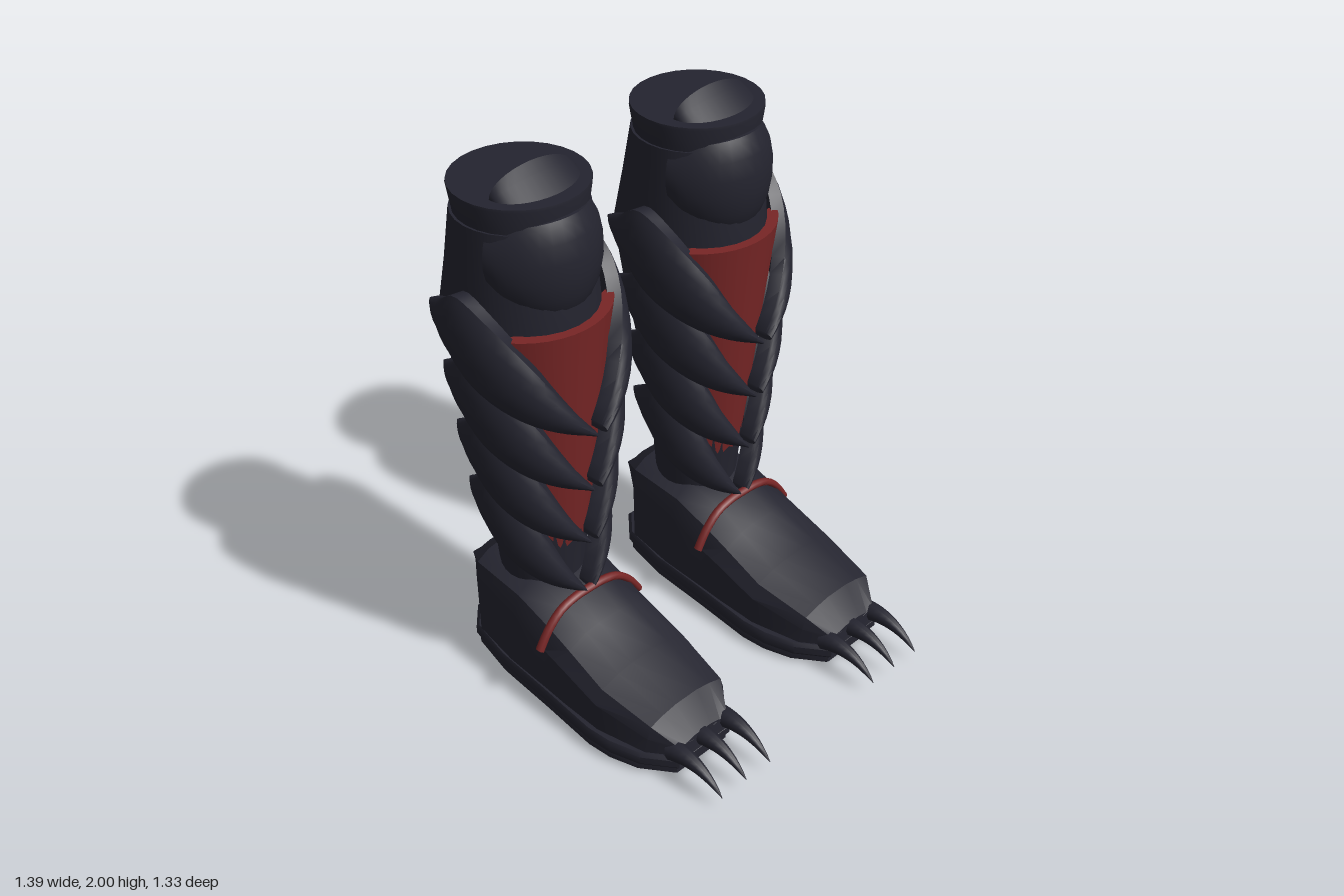
import * as THREE from 'three';
import { toCreasedNormals } from 'three/addons/utils/BufferGeometryUtils.js';

const dark = new THREE.MeshStandardMaterial({ color: 0x24242f });
dark.name = 'charcoal armour';
const red = new THREE.MeshStandardMaterial({ color: 0x782626 });
red.name = 'deep red cloth';

// Skin closed rings of [x, y, z] points, cap both ends, and face outward.
function loft(name, material, rings, crease = 0.6) {
  const n = rings[0].length, pos = rings.flat(2), tris = [];
  for (let i = 0; i < rings.length - 1; i++) {
    for (let j = 0; j < n; j++) {
      const a = i * n + j, b = i * n + (j + 1) % n;
      tris.push([a, b, a + n], [b, b + n, a + n]);
    }
  }
  [0, rings.length - 1].forEach((r, end) => {
    const c = pos.length / 3;
    for (let k = 0; k < 3; k++) pos.push(rings[r].reduce((s, p) => s + p[k], 0) / n);
    for (let j = 0; j < n; j++) {
      const a = r * n + j, b = r * n + (j + 1) % n;
      tris.push(end ? [a, b, c] : [b, a, c]);
    }
  });
  const v = i => new THREE.Vector3().fromArray(pos, i * 3);
  const volume = tris.reduce((s, [a, b, c]) => s + v(a).dot(v(b).cross(v(c))), 0);
  if (volume < 0) tris.forEach(t => t.reverse());
  const geo = new THREE.BufferGeometry();
  geo.setAttribute('position', new THREE.Float32BufferAttribute(pos, 3));
  geo.setIndex(tris.flat());
  const mesh = new THREE.Mesh(toCreasedNormals(geo, crease), material);
  mesh.name = name;
  return mesh;
}

// Horizontal ellipse from its half width, back z and front z.
function ellipse([y, rx, zb, zf], n = 28) {
  return Array.from({ length: n }, (_, i) => {
    const a = i / n * Math.PI * 2;
    return [rx * Math.sin(a), y, (zb + zf) / 2 + (zf - zb) / 2 * Math.cos(a)];
  });
}

// Padded plate wrapped round the shin; rows are [angle from front, low y, high y].
function wrapPlate(name, rows, { rx, rz, cz, drop, thick, dy = 0, side = 1, steps = 20 }) {
  const curve = new THREE.CatmullRomCurve3(rows.map(r => new THREE.Vector3(...r)), false, 'centripetal');
  const across = [0, 0.06, 0.2, 0.4, 0.6, 0.8, 0.94, 1];
  const rings = [];
  for (let i = 0; i <= steps; i++) {
    const p = curve.getPoint(i / steps);
    const point = (t, inset) => [
      side * (rx - inset) * Math.sin(p.x),
      p.y + (p.z - p.y) * t + dy,
      cz + ((Math.cos(p.x) > 0 ? rz : rx) - inset) * Math.cos(p.x)];
    const outer = across.map(t => point(t, drop * Math.abs(2 * t - 1) ** 2.5));
    const inner = [1, 0.5, 0].map(t => point(t, drop + thick));
    rings.push([...outer, ...inner]);
  }
  return loft(name, dark, rings, 0.7);
}

// Flat slab following the sole outline.
function soleSlab(name, scale, y0, y1) {
  const half = [[0.12, 0.47], [0.2, 0.36], [0.235, 0.25], [0.245, 0.15], [0.228, -0.1],
    [0.215, -0.35], [0.18, -0.53], [0.1, -0.62]];
  const outline = [...half, ...half.map(([x, z]) => [-x, z]).reverse()];
  const ring = (y, s) => outline.map(([x, z]) => [x * s, y, (z + 0.07) * s - 0.07]);
  const m = (y1 - y0) * 0.25;
  return loft(name, dark, [ring(y0, scale * 0.975), ring(y0 + m, scale), ring(y1 - m, scale), ring(y1, scale * 0.975)]);
}

function buildBoot() {
  const boot = new THREE.Group();

  // Shaft and flared rim
  boot.add(loft('shaft', dark, [
    [0.38, 0.14, -0.5, -0.19], [0.6, 0.165, -0.505, -0.17], [0.8, 0.185, -0.53, -0.145],
    [1.0, 0.205, -0.565, -0.12], [1.2, 0.23, -0.61, -0.105], [1.45, 0.248, -0.66, -0.09],
    [1.65, 0.23, -0.612, -0.105], [1.84, 0.222, -0.565, -0.125],
  ].map(r => ellipse(r))));
  boot.add(loft('rim', dark, [
    [1.83, 0.213, -0.556, -0.127], [1.85, 0.215, -0.558, -0.126],
    [1.92, 0.225, -0.57, -0.115], [1.93, 0.224, -0.569, -0.116],
  ].map(r => ellipse(r))));

  // Sloping half-round flap standing on the rim
  const flap = [];
  for (let i = 0; i <= 16; i++) {
    const t = -Math.cos(i / 16 * Math.PI), h = Math.sqrt(Math.max(0, 1 - t * t));
    flap.push([[0.165 * t, 1.925, -0.275], [0.165 * t, 1.93 + 0.07 * h, -0.285],
      [0.165 * t, 1.93 + 0.045 * h, -0.27 + 0.025 * h], [0.165 * t, 1.925, -0.27 + 0.11 * h]]);
  }
  boot.add(loft('topFlap', dark, flap));

  // Knee pad
  boot.add(wrapPlate('kneePad', [
    [-1.27, 1.64, 1.84], [-1.05, 1.59, 1.85], [-0.6, 1.56, 1.87], [0, 1.55, 1.88],
    [0.6, 1.56, 1.87], [1.05, 1.59, 1.85], [1.27, 1.64, 1.84],
  ], { rx: 0.235, rz: 0.275, cz: -0.345, drop: 0.04, thick: 0.03 }));

  // Red shin panel, a thin curved strip tapering to the ankle
  const panel = [[0.44, 0.145, 0.15], [0.8, 0.185, 0.2], [1.2, 0.235, 0.245], [1.5, 0.278, 0.282]].map(([y, rx, rz]) => {
    const arc = Array.from({ length: 13 }, (_, i) => (i / 6 - 1) * 0.95);
    const at = inset => a => [(rx - inset) * Math.sin(a), y, -0.342 + (rz - inset) * Math.cos(a)];
    return [...arc.map(at(0)), ...arc.reverse().map(at(0.03))];
  });
  boot.add(loft('shinPanel', red, panel));

  // Four overlapping rows of leaf-shaped scales on both sides
  const leaf = [[0.06, 1.125, 1.15], [0.4, 1.165, 1.285], [0.8, 1.215, 1.45], [1.2, 1.275, 1.57],
    [1.57, 1.34, 1.625], [1.95, 1.43, 1.565], [2.3, 1.5, 1.515]];
  for (let k = 0; k < 4; k++) {
    for (const side of [1, -1]) {
      boot.add(wrapPlate('scale', leaf, {
        rx: 0.315 - 0.025 * k, rz: 0.335 - 0.03 * k, cz: -0.33,
        drop: 0.028, thick: 0.045, dy: -0.238 * k, side,
      }));
    }
  }

  // Foot: [bottom z, top z, half width, shoulder y, top half width, top y]
  const foot = [
    [-0.54, -0.605, 0.11, 0.32, 0.08, 0.36], [-0.5, -0.5, 0.18, 0.34, 0.13, 0.44],
    [-0.3, -0.26, 0.208, 0.33, 0.13, 0.45], [-0.1, -0.1, 0.215, 0.27, 0.12, 0.405],
    [0, 0, 0.22, 0.25, 0.12, 0.355], [0.17, 0.17, 0.222, 0.2, 0.13, 0.285],
    [0.36, 0.38, 0.18, 0.16, 0.12, 0.235], [0.47, 0.46, 0.11, 0.11, 0.09, 0.14],
  ].map(([zb, zt, w, ys, wt, yt]) => {
    const zs = zb + (zt - zb) * 0.85;
    const half = [[w, 0.07, zb], [w, ys, zs], [(w + wt) / 2 + 0.015, (ys + yt) / 2 + 0.01, zt], [wt * 0.9, yt - 0.01, zt], [wt * 0.4, yt, zt]];
    return [...half, ...half.map(([x, y, z]) => [-x, y, z]).reverse()];
  });
  boot.add(loft('foot', dark, foot, 0.5));

  // Two-layer sole
  boot.add(soleSlab('soleWelt', 1, 0.035, 0.09));
  boot.add(soleSlab('soleTread', 0.97, 0, 0.045));

  // Red strap over the instep
  const strapPath = new THREE.CatmullRomCurve3([
    [-0.232, 0.28], [-0.19, 0.345], [-0.13, 0.4], [-0.06, 0.42], [0, 0.422],
    [0.06, 0.42], [0.13, 0.4], [0.19, 0.345], [0.232, 0.28],
  ].map(([x, y]) => new THREE.Vector3(x, y, -0.1)));
  const rings = strapPath.getPoints(24).map((p, i) => {
    const t = strapPath.getTangent(i / 24);
    return Array.from({ length: 8 }, (_, j) => {
      const a = j / 8 * Math.PI * 2, r = 0.014 * Math.cos(a);
      return [p.x - t.y * r, p.y + t.x * r, p.z + 0.017 * Math.sin(a)];
    });
  });
  boot.add(loft('instepStrap', red, rings, 1));

  // Three curved toe claws
  const clawPath = new THREE.QuadraticBezierCurve3(
    new THREE.Vector3(0, 0.105, 0.43), new THREE.Vector3(0, 0.145, 0.56), new THREE.Vector3(0, 0.05, 0.665));
  for (const x of [-0.115, 0, 0.115]) {
    const claw = loft('toeClaw', dark, clawPath.getPoints(10).map((p, i) => {
      const t = clawPath.getTangent(i / 10), r = 0.037 * (1 - i / 10) ** 0.8 + 0.001;
      return Array.from({ length: 10 }, (_, j) => {
        const a = j / 10 * Math.PI * 2;
        return [r * Math.cos(a), p.y + r * Math.sin(a) * t.z, p.z - r * Math.sin(a) * t.y];
      });
    }), 1);
    claw.position.x = x;
    boot.add(claw);
  }
  return boot;
}

export function createModel() {
  const model = new THREE.Group();
  model.name = 'armouredBoots';
  const left = buildBoot();
  left.name = 'leftBoot';
  left.position.x = 0.383;
  const right = left.clone();
  right.name = 'rightBoot';
  right.position.x = -0.383;
  model.add(left, right);
  return model;
}
